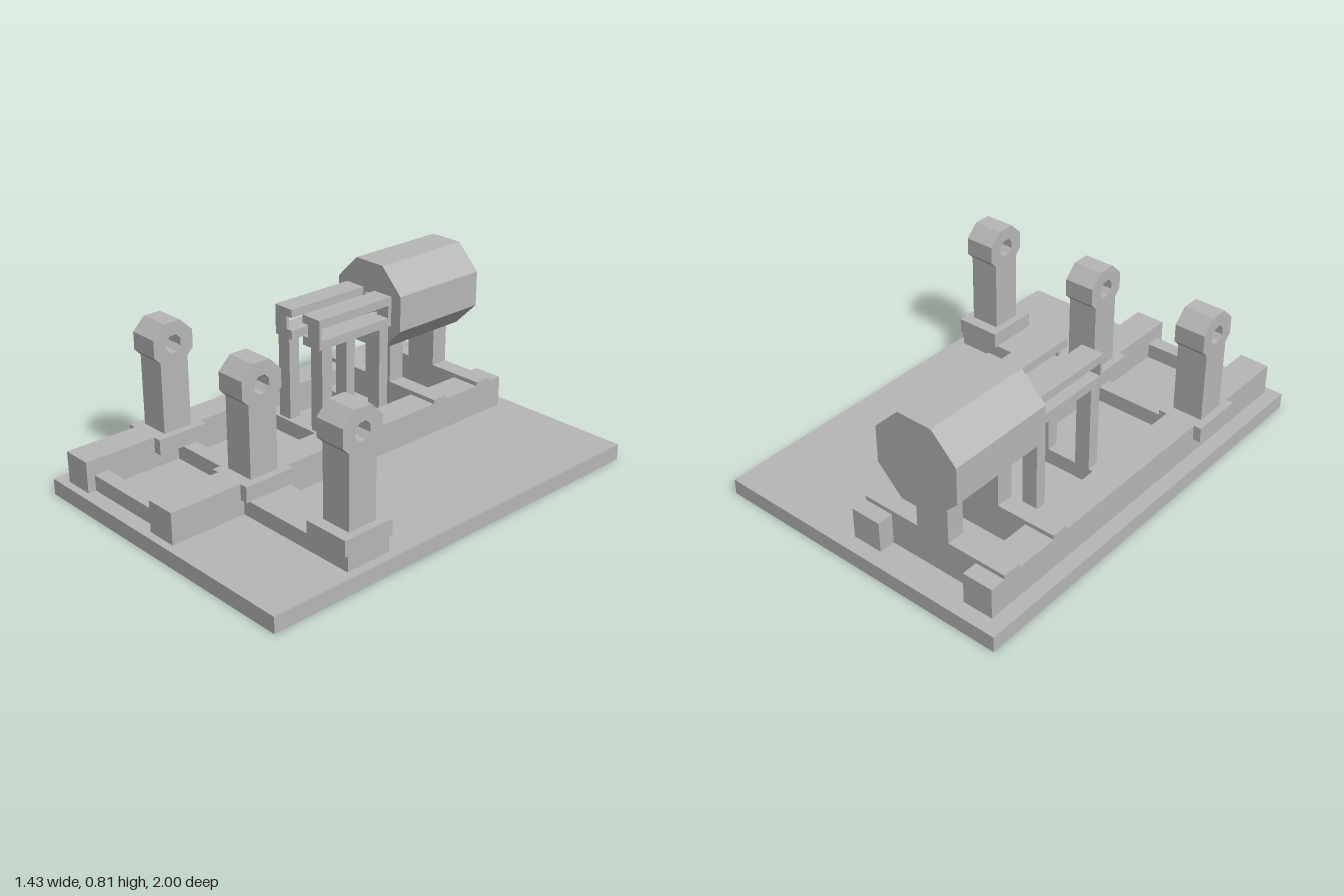
import * as THREE from 'three';

export function createModel() {
  const model = new THREE.Group();
  const grey = new THREE.MeshStandardMaterial({ color: 0xb6b6b6 });
  grey.name = 'plain grey';

  const add = (name, geometry) => {
    const mesh = new THREE.Mesh(geometry, grey);
    mesh.name = name;
    model.add(mesh);
    return mesh;
  };
  // Box given by its limits along each axis
  const box = (name, x0, x1, y0, y1, z0, z1) =>
    add(name, new THREE.BoxGeometry(x1 - x0, y1 - y0, z1 - z0))
      .position.set((x0 + x1) / 2, (y0 + y1) / 2, (z0 + z1) / 2);
  // Points of an octagon with flat sides up, down, left and right
  const octagon = (cx, cy, apothem) => Array.from({ length: 8 }, (_, i) => {
    const a = (i + 0.5) * Math.PI / 4, r = apothem / Math.cos(Math.PI / 8);
    return new THREE.Vector2(cx + r * Math.cos(a), cy + r * Math.sin(a));
  });
  const prism = (name, x, y, apothem, z0, z1) =>
    add(name, new THREE.ExtrudeGeometry(new THREE.Shape(octagon(x, y, apothem)),
      { depth: z1 - z0, bevelEnabled: false })).position.z = z0;

  // Base and the frame lying on it
  box('basePlate', -0.713, 0.713, 0, 0.073, -1, 1);
  const rails = [[-0.645, -0.505], [-0.071, 0.071]];
  for (const [x0, x1] of rails) box('rail', x0, x1, 0.073, 0.215, -0.93, 0.965);
  for (const [z0, z1] of [[0.86, 0.928], [0.43, 0.5], [-0.071, 0], [-0.43, -0.36]])
    box('crossBeam', -0.505, -0.071, 0.073, 0.144, z0, z1);
  box('sideBeam', 0.071, 0.675, 0.073, 0.144, 0.392, 0.607);

  // Bearing posts with an octagonal eye, each on a pad
  const profile = new THREE.Shape([
    [-0.07, 0.215], [0.07, 0.215], [0.07, 0.54], [0.1, 0.57], [0.1, 0.65],
    [0.041, 0.708], [-0.041, 0.708], [-0.1, 0.65], [-0.1, 0.57], [-0.07, 0.54],
  ].map(([u, v]) => new THREE.Vector2(u, v)));
  profile.holes.push(new THREE.Path(octagon(0, 0.61, 0.038).reverse()));
  for (const x of [-0.573, 0, 0.57]) {
    box('postPad', x - 0.107, x + 0.107, 0.144, 0.215, 0.376, 0.623);
    const post = add('bearingPost',
      new THREE.ExtrudeGeometry(profile, { depth: 0.142, bevelEnabled: false }));
    post.rotation.y = Math.PI / 2;
    post.position.set(x - 0.071, 0, 0.5);
  }

  // Motor, its shaft and its two supports
  const cx = -0.288, cy = 0.61;
  prism('motorBody', cx, cy, 0.198, -0.927, -0.429);
  prism('motorCollar', cx, cy, 0.05, -0.429, -0.42);
  prism('motorShaft', cx, cy, 0.035, -0.429, -0.41);
  for (const [z0, z1] of [[-0.57, -0.488], [-0.857, -0.773]]) {
    box('motorBeam', -0.645, 0.071, 0.073, 0.234, z0, z1);
    box('motorPillar', cx - 0.08, cx + 0.08, 0.234, 0.415, z0, z1);
  }

  // Mirrored slotted guides on legs
  for (const side of [-1, 1]) {
    const part = (name, a, b, ...rest) => {
      const [x0, x1] = [cx + side * a, cx + side * b].sort((p, q) => p - q);
      box(name, x0, x1, ...rest);
    };
    part('guideBottom', 0.036, 0.142, 0.542, 0.583, -0.429, 0);
    part('guideTop', 0.036, 0.142, 0.642, 0.68, -0.429, 0);
    part('guideFrontEnd', 0.071, 0.142, 0.583, 0.642, -0.015, 0);
    part('guideRearEnd', 0.071, 0.142, 0.583, 0.642, -0.429, -0.41);
    for (const [z0, z1] of [[-0.071, -0.015], [-0.41, -0.358]])
      part('guideLeg', 0.071, 0.142, 0.144, 0.542, z0, z1);
  }
  return model;
}
